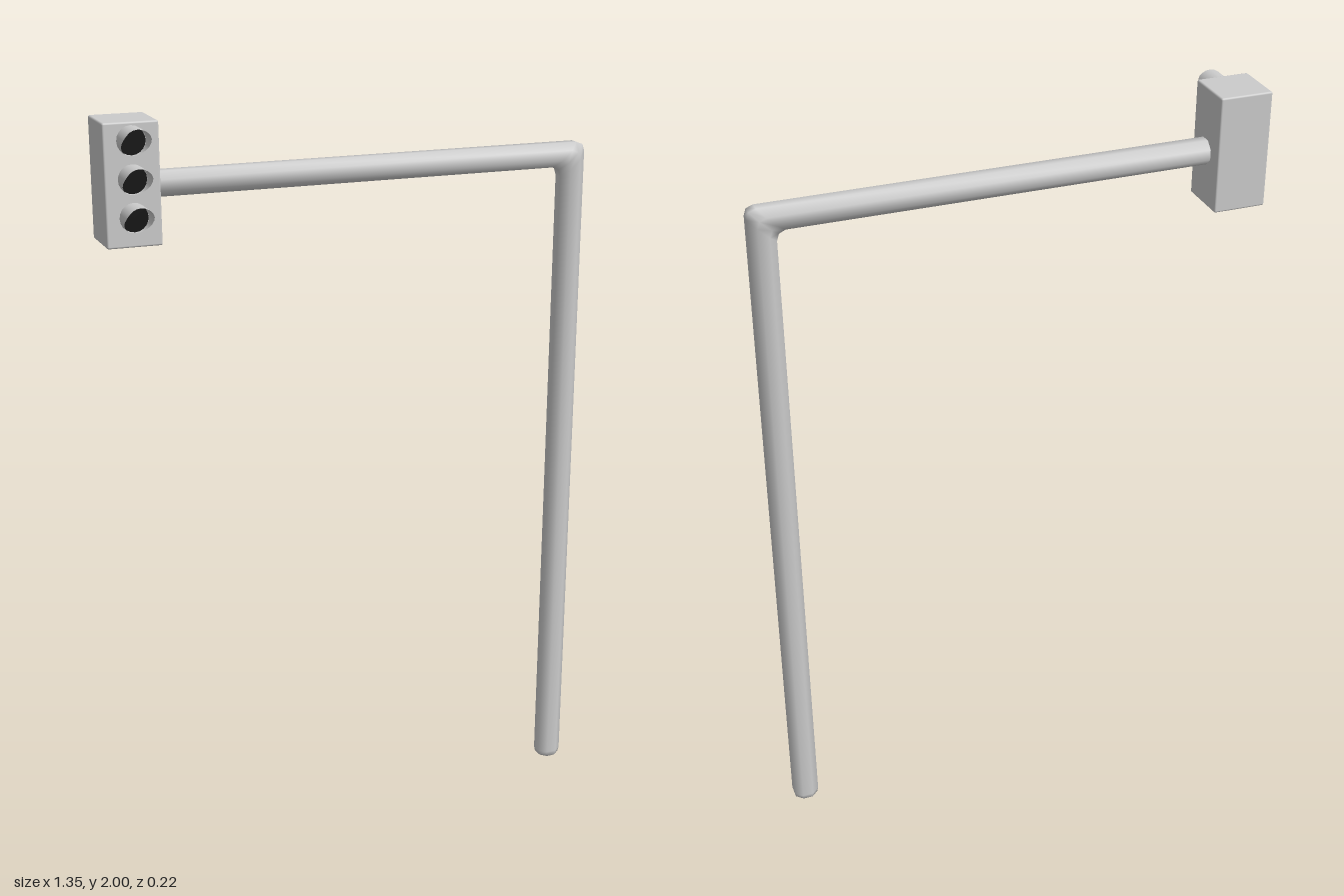
import * as THREE from 'three';
import { RoundedBoxGeometry } from 'three/addons/geometries/RoundedBoxGeometry.js';

const grey = new THREE.MeshStandardMaterial({ color: 0xcccccc });
const greyThin = new THREE.MeshStandardMaterial({ color: 0xcccccc, side: THREE.DoubleSide });
const black = new THREE.MeshStandardMaterial({ color: 0x111111 });

function part(name, geometry, material, x = 0, y = 0, z = 0) {
  const mesh = new THREE.Mesh(geometry, material);
  mesh.name = name;
  mesh.position.set(x, y, z);
  return mesh;
}

// Octagonal bar swept through stations [outerX, outerY, innerX, innerY, halfDepth]
function sweptBar(stations, sides = 8) {
  const pos = [], index = [];
  const k = 1 / Math.cos(Math.PI / sides);
  for (const [ox, oy, ix, iy, hz] of stations) {
    for (let i = 0; i < sides; i++) {
      const a = ((i + 0.5) / sides) * Math.PI * 2;
      const c = Math.cos(a) * k / 2, s = Math.sin(a) * k;
      pos.push((ox + ix) / 2 + (ox - ix) * c, (oy + iy) / 2 + (oy - iy) * c, -s * hz);
    }
  }
  for (let r = 0; r < stations.length - 1; r++) {
    for (let i = 0; i < sides; i++) {
      const a = r * sides + i, b = r * sides + (i + 1) % sides;
      index.push(a, b, b + sides, a, b + sides, a + sides);
    }
  }
  // end caps
  const last = (stations.length - 1) * sides;
  for (let i = 1; i < sides - 1; i++) {
    index.push(0, i + 1, i, last, last + i, last + i + 1);
  }
  const g = new THREE.BufferGeometry();
  g.setAttribute('position', new THREE.Float32BufferAttribute(pos, 3));
  g.setIndex(index);
  g.computeVertexNormals();
  return g;
}

// Open tube along z, its front cut on a slope so the top reaches furthest
function visorGeometry(radius, length) {
  const g = new THREE.CylinderGeometry(radius, radius, 1, 20, 1, true);
  g.rotateX(Math.PI / 2);
  const p = g.attributes.position;
  for (let i = 0; i < p.count; i++) {
    const t = (p.getY(i) / radius + 1) / 2;
    const reach = length * Math.min(1, 0.12 + 1.2 * t);
    p.setZ(i, p.getZ(i) > 0 ? reach : 0);
  }
  return g;
}

export function createModel() {
  const model = new THREE.Group();
  model.name = 'trafficLight';

  // Post and overhanging arm, one continuous bent bar
  const bar = sweptBar([
    [0.658, 0, 0.612, 0, 0.023],
    [0.667, 0.006, 0.603, 0.006, 0.03],
    [0.67, 0.02, 0.6, 0.02, 0.033],
    [0.67, 1.84, 0.6, 1.775, 0.033],
    [0.664, 1.859, 0.594, 1.793, 0.033],
    [0.645, 1.866, 0.577, 1.801, 0.033],
    [-0.56, 1.866, -0.56, 1.801, 0.033],
  ]);
  model.add(part('postAndArm', bar, grey, 0, 0, -0.034));

  // Signal head
  const head = new THREE.Group();
  head.name = 'signalHead';
  head.position.set(-0.604, 1.845, 0);
  model.add(head);
  head.add(part('housing', new RoundedBoxGeometry(0.142, 0.31, 0.144, 2, 0.005), grey, 0, 0, -0.038));

  // Three lamps, each a dark lens under a sloped visor
  const lens = new THREE.CircleGeometry(0.036, 20);
  const visor = visorGeometry(0.037, 0.072);
  ['top', 'middle', 'bottom'].forEach((level, i) => {
    const y = 0.11 - i * 0.095;
    head.add(part(level + 'Lens', lens, black, 0, y, 0.036));
    head.add(part(level + 'Visor', visor, greyThin, 0, y, 0.033));
  });

  return model;
}
